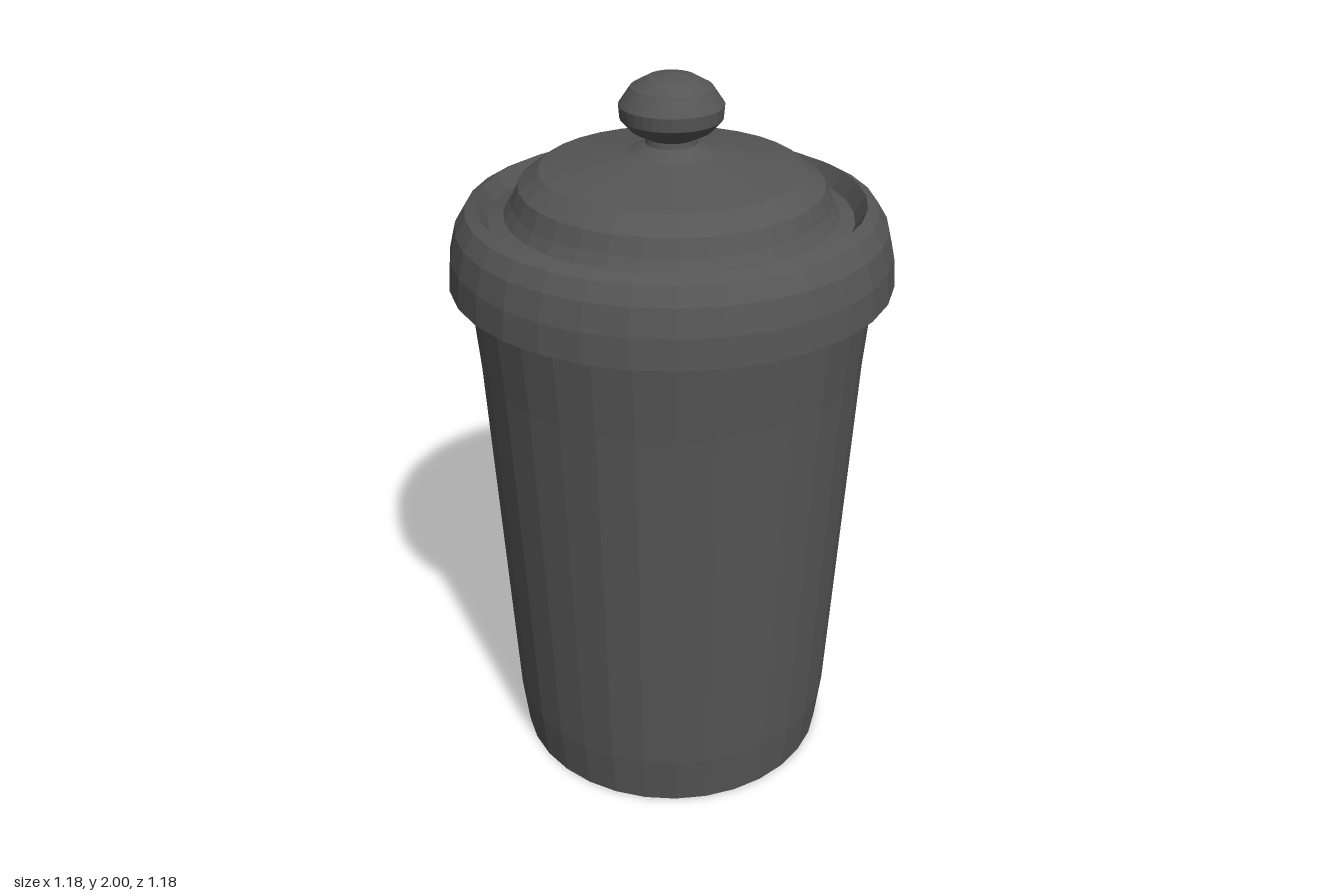
import * as THREE from 'three';

const SEGMENTS = 32;

export function createModel() {
  const material = new THREE.MeshStandardMaterial({
    color: 0x555555, flatShading: true, side: THREE.DoubleSide,
  });
  const group = new THREE.Group();
  group.name = 'liddedCanister';

  // Turns a [radius, height] profile around the y axis
  const turned = (name, profile) => {
    const points = profile.map(([r, y]) => new THREE.Vector2(r, y));
    const mesh = new THREE.Mesh(new THREE.LatheGeometry(points, SEGMENTS), material);
    mesh.name = name;
    group.add(mesh);
  };

  // Tapered open cup with a flat base
  turned('body', [
    [0, 0], [0.45, 0], [0.467, 0.15], [0.522, 1.23], [0.542, 1.47],
  ]);

  // Hollow lid: overhanging rim, sunken groove and shallow dome
  turned('lid', [
    [0.565, 1.46], [0.592, 1.46], [0.586, 1.54], [0.568, 1.61], [0.54, 1.655],
    [0.51, 1.67], [0.48, 1.625], [0.44, 1.64], [0.42, 1.67], [0.4, 1.715],
    [0.345, 1.755], [0.115, 1.797], [0.07, 1.82],
  ]);

  // Round knob on a short neck
  turned('knob', [
    [0, 1.79], [0.09, 1.805], [0.068, 1.82], [0.065, 1.835], [0.105, 1.855],
    [0.133, 1.885], [0.136, 1.92], [0.105, 1.965], [0.06, 1.99], [0, 2],
  ]);

  return group;
}
